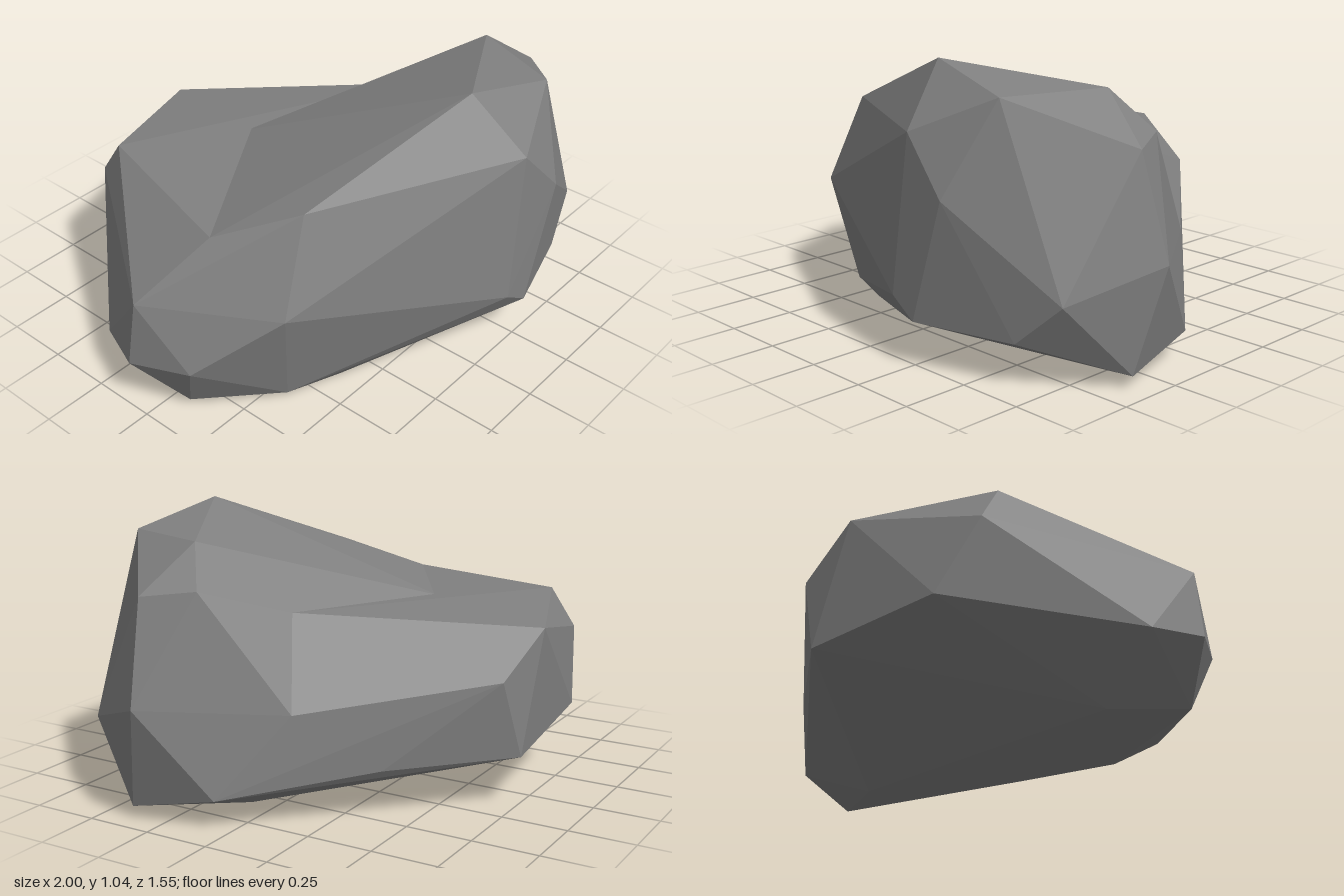
import * as THREE from 'three';
import { ConvexGeometry } from 'three/addons/geometries/ConvexGeometry.js';

// Corners along the saddle where the tall and low halves of the boulder meet
const seam = [
  [-0.12, 0.695, -0.29], [0.51, 0.72, -0.04], [0.69, 0.405, -0.15],
  [0.88, 0.115, 0.05], [0.58, 0.005, 0.1], [-0.65, 0.005, -0.14],
  [-0.86, 0.03, 0.085], [-1, 0.21, -0.07], [-0.97, 0.47, -0.05],
  [-0.71, 0.68, 0.08],
];

// Tall front half: crest, front face, underside
const tall = [
  [0.16, 1.05, 0.545], [0.54, 0.97, 0.62], [0.68, 0.975, 0.25],
  [0.81, 0.83, 0.15], [0.9, 0.81, 0.33], [-0.25, 0.79, 0.13],
  [-0.52, 0.8, 0.35], [0.23, 0.83, 0.75], [0.42, 0.63, 0.775],
  [1, 0.435, 0.3], [0.82, 0.32, 0.61], [-0.68, 0.45, 0.4],
  [-0.92, 0.23, 0.16], [-0.15, 0.285, 0.59], [0.16, 0.245, 0.77],
  [0.27, 0.175, 0.775], [0.65, 0.165, 0.66], [0.92, 0.05, 0.375],
  [-0.38, 0.015, 0.4], [-0.6, 0.03, 0.33],
];

// Low back half: rear shelf and rear wall
const low = [
  [-0.52, 0.685, -0.6], [-0.02, 0.645, -0.78], [0.22, 0.49, -0.73],
  [-0.52, 0.54, -0.7], [-0.37, 0.27, -0.76], [0.14, 0.2, -0.77],
  [0.5, 0.19, -0.4], [-0.91, 0.19, -0.28],
];

export function createModel() {
  const stone = new THREE.MeshStandardMaterial({ color: 0x808080 });
  stone.name = 'stone grey';

  const boulder = new THREE.Group();
  boulder.name = 'boulder';

  // Each half is a faceted hull; together they leave the dip on top
  const addHull = (name, corners) => {
    const points = [...seam, ...corners].map((p) => new THREE.Vector3(...p));
    const mesh = new THREE.Mesh(new ConvexGeometry(points), stone);
    mesh.name = name;
    boulder.add(mesh);
  };
  addHull('tallFrontRock', tall);
  addHull('lowBackRock', low);

  return boulder;
}
